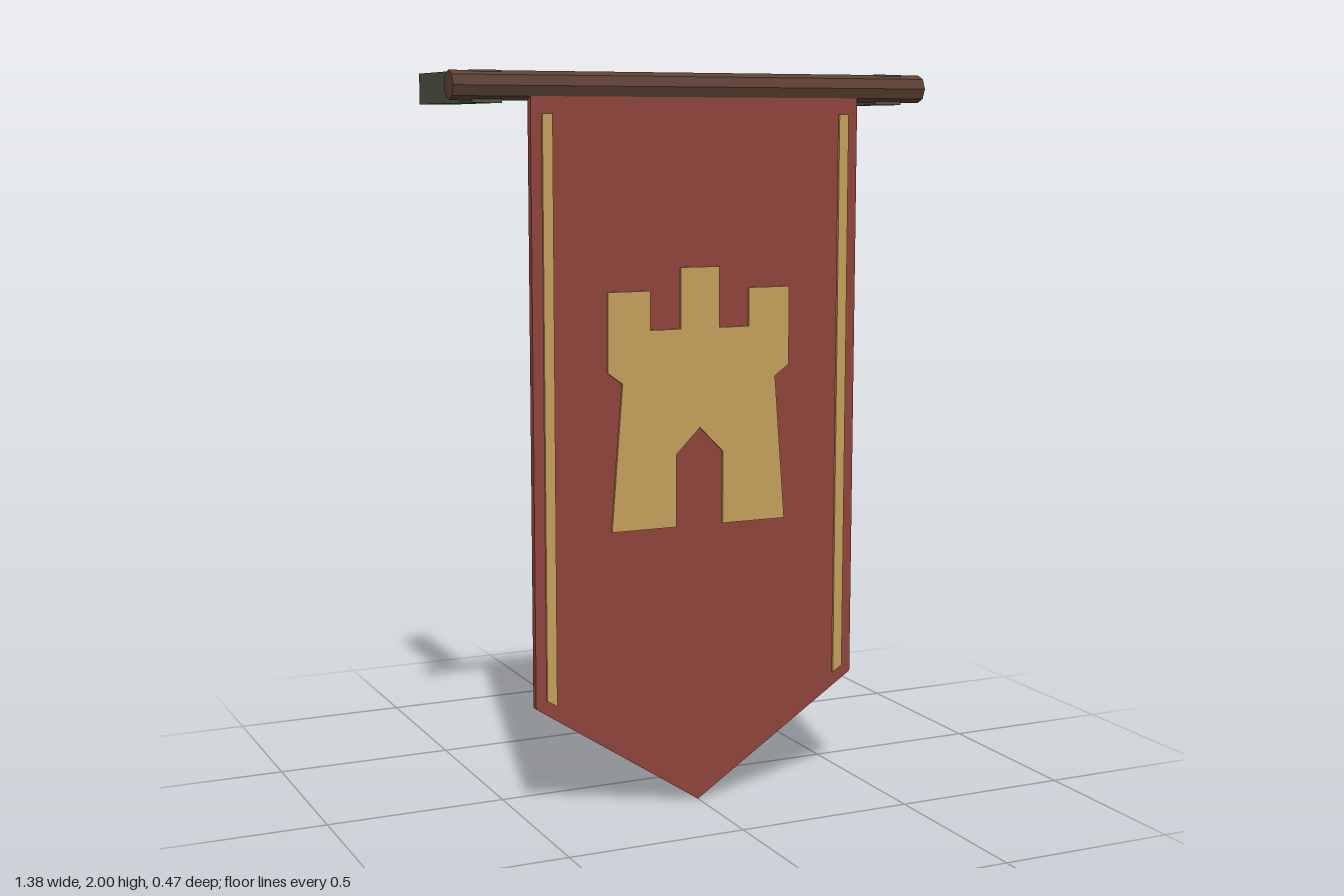
import * as THREE from 'three';

const material = (name, color) => {
  const m = new THREE.MeshStandardMaterial({ color });
  m.name = name;
  return m;
};

// Flat plate cut from an outline, its back face at z
function plate(name, points, z, depth, mat) {
  const shape = new THREE.Shape(points.map(([x, y]) => new THREE.Vector2(x, y)));
  const geo = new THREE.ExtrudeGeometry(shape, { depth, bevelEnabled: false });
  const mesh = new THREE.Mesh(geo, mat);
  mesh.name = name;
  mesh.position.z = z;
  return mesh;
}

// Complete a right-hand outline with its mirror image
const mirrored = (half) => [
  ...half,
  ...half.filter(([x]) => x !== 0).reverse().map(([x, y]) => [-x, y]),
];

export function createModel() {
  const group = new THREE.Group();
  group.name = 'wallBanner';

  const cloth = material('red cloth', 0x8f433d);
  const gold = material('gold trim', 0xc4a05c);
  const wood = material('dark wood', 0x5c4033);
  wood.flatShading = true;
  const iron = material('grey bracket', 0x4f5042);

  // Hanging cloth with a pointed foot
  group.add(plate('cloth', mirrored([[0, 0], [0.48, 0.315], [0.48, 1.95]]), 0.198, 0.021, cloth));

  // Castle tower emblem
  const tower = mirrored([
    [0, 1.05], [0.07, 0.98], [0.07, 0.78], [0.26, 0.78], [0.228, 1.18], [0.27, 1.21],
    [0.27, 1.425], [0.147, 1.425], [0.147, 1.32], [0.057, 1.32], [0.057, 1.485],
  ]);
  group.add(plate('towerEmblem', tower, 0.218, 0.008, gold));

  // Octagonal rod
  const rod = new THREE.Mesh(new THREE.CylinderGeometry(0.038, 0.038, 1.38, 8), wood);
  rod.name = 'rod';
  rod.rotation.z = Math.PI / 2;
  rod.position.set(0, 1.961, 0.192);
  group.add(rod);

  for (const [side, s] of [['left', 1], ['right', -1]]) {
    // Edge stripe with a slanted lower end
    const stripe = [[0.422, 0.318], [0.45, 0.336], [0.45, 1.89], [0.422, 1.89]];
    group.add(plate(side + 'Stripe', stripe.map(([x, y]) => [s * x, y]), 0.218, 0.008, gold));

    // Wall bracket
    const bracket = new THREE.Mesh(new THREE.BoxGeometry(0.08, 0.083, 0.435), iron);
    bracket.name = side + 'Bracket';
    bracket.position.set(s * 0.59, 1.9585, -0.0175);
    group.add(bracket);
  }
  return group;
}
